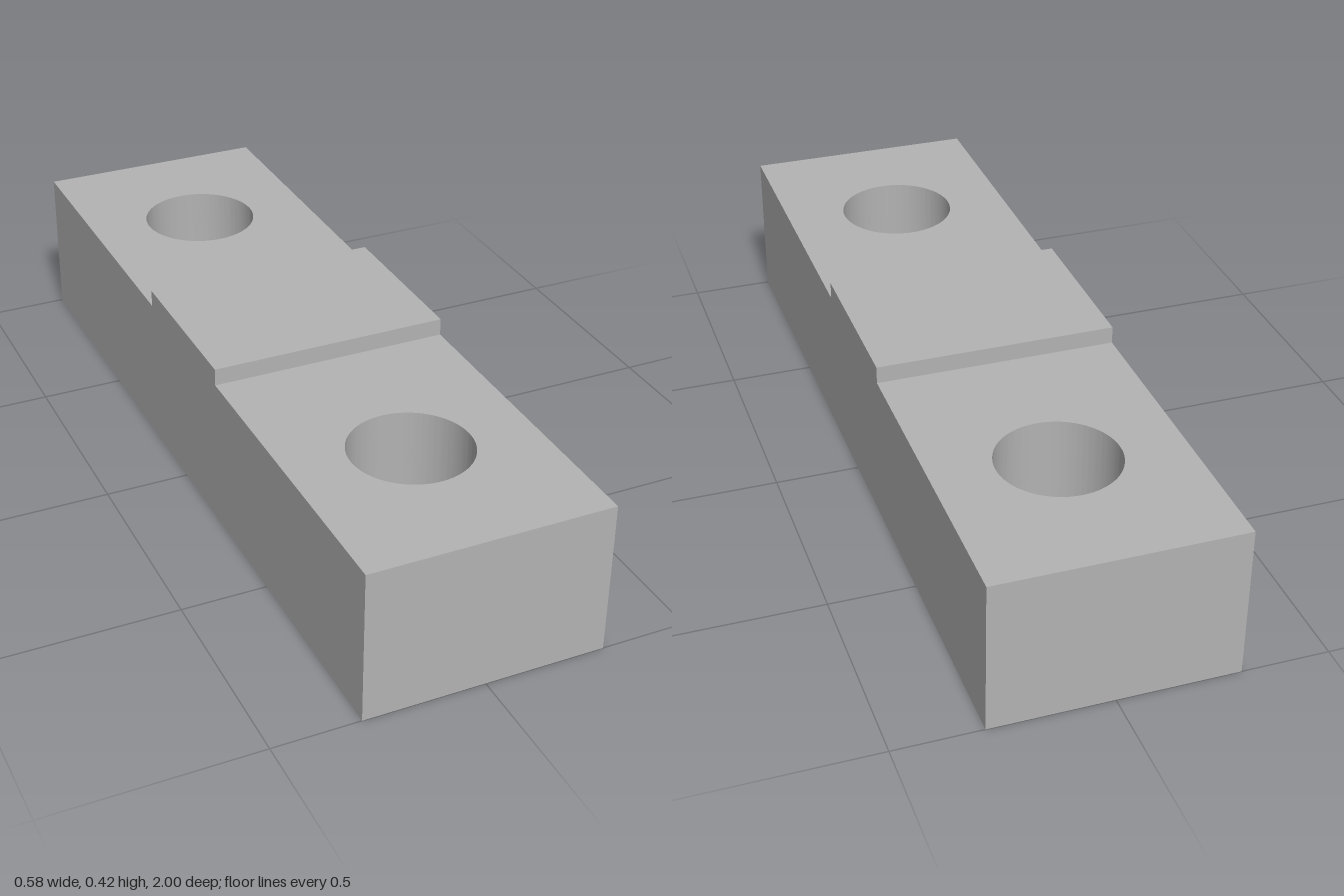
import * as THREE from 'three';
import { toCreasedNormals } from 'three/addons/utils/BufferGeometryUtils.js';

const WIDTH = 0.583, LENGTH = 2;
const LEDGE_Y = 0.167, DECK_Y = 0.375, TOP_Y = 0.417;
const HOLE_Z = 0.625, BORE_R = 0.144, COUNTERBORE_R = 0.25;
const RIDGE_LENGTH = 0.417;

// Rectangular slab from y0 to y1 with a round hole near each end
function drilledSlab(name, y0, y1, radius, material) {
  const w = WIDTH / 2, l = LENGTH / 2;
  const shape = new THREE.Shape([
    new THREE.Vector2(-w, -l), new THREE.Vector2(w, -l),
    new THREE.Vector2(w, l), new THREE.Vector2(-w, l),
  ]);
  for (const side of [-1, 1]) {
    shape.holes.push(new THREE.Path().absarc(0, side * HOLE_Z, radius, 0, Math.PI * 2, true));
  }
  const extruded = new THREE.ExtrudeGeometry(shape, {
    depth: y1 - y0, bevelEnabled: false, curveSegments: 64,
  });
  extruded.rotateX(-Math.PI / 2).translate(0, y0, 0);
  const mesh = new THREE.Mesh(toCreasedNormals(extruded, Math.PI / 6), material);
  mesh.name = name;
  return mesh;
}

export function createModel() {
  const grey = new THREE.MeshStandardMaterial({ color: 0xb3b3b3 });
  grey.name = 'grey';

  const model = new THREE.Group();
  model.name = 'mountingBlock';

  // Wide counterbores below, narrow bolt holes above
  model.add(drilledSlab('counterboredBase', 0, LEDGE_Y, COUNTERBORE_R, grey));
  model.add(drilledSlab('boredDeck', LEDGE_Y, DECK_Y, BORE_R, grey));

  // Raised locating ridge across the middle
  const ridge = new THREE.Mesh(new THREE.BoxGeometry(WIDTH, TOP_Y - DECK_Y, RIDGE_LENGTH), grey);
  ridge.position.y = (TOP_Y + DECK_Y) / 2;
  ridge.name = 'centreRidge';
  model.add(ridge);

  return model;
}
